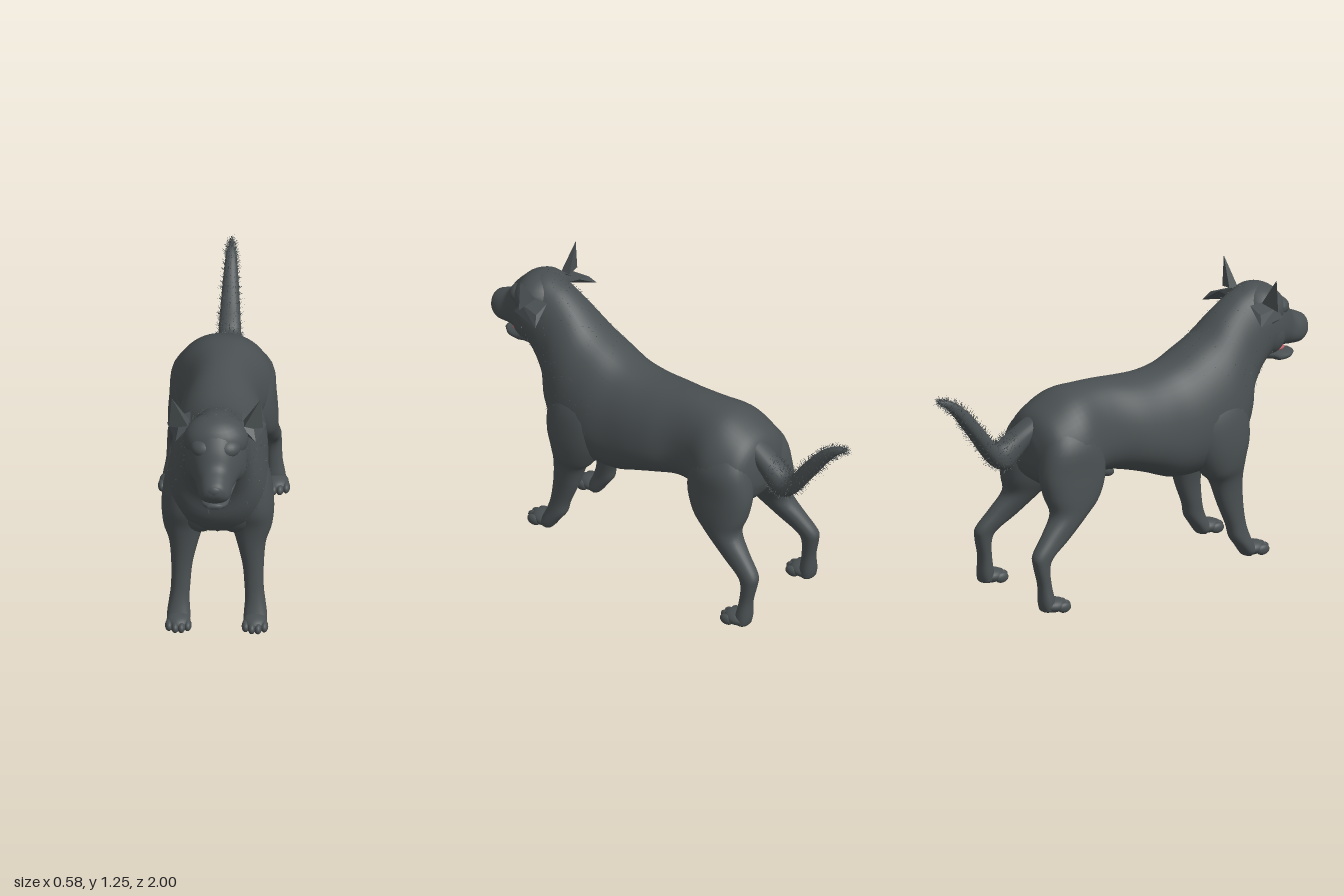
import * as THREE from 'three';

const fur = new THREE.MeshStandardMaterial({ color: 0x4a5052, side: THREE.DoubleSide });
fur.name = 'charcoal fur';
const pink = new THREE.MeshStandardMaterial({ color: 0xbf646c });
pink.name = 'tongue pink';

// Small repeatable random source for the loose hairs
let seed = 7;
const rand = () => (seed = (seed * 16807) % 2147483647) / 2147483647;

// Smooth skin through oval sections: [x, zA, yA, zB, yB, halfWidth]; taper narrows the A side
function loft(rows, sides = 32, steps = 4, taper = 0) {
  const curves = [0, 3].map(k => new THREE.CatmullRomCurve3(
    rows.map(r => new THREE.Vector3(r[k], r[k + 1], r[k + 2])), false, 'catmullrom', 0.5));
  const n = (rows.length - 1) * steps, pos = [], idx = [];
  const bend = v => Math.sign(v) * Math.abs(v) ** 0.88;
  for (let i = 0; i <= n; i++) {
    const p = curves[0].getPoint(i / n), q = curves[1].getPoint(i / n);
    const [x, za, ya] = p.toArray(), [zb, yb, w] = q.toArray();
    for (let j = 0; j < sides; j++) {
      const t = j / sides * Math.PI * 2, c = bend(Math.cos(t)) / 2;
      pos.push(x + bend(Math.sin(t)) * Math.max(w, 0.002) * (1 - taper * c),
        (ya + yb) / 2 + (ya - yb) * c, (za + zb) / 2 + (za - zb) * c);
      if (i < n) {
        const a = i * sides + j, b = i * sides + (j + 1) % sides;
        idx.push(a, a + sides, b, b, a + sides, b + sides);
      }
    }
  }
  // End caps
  for (const i of [0, n]) {
    const r = rows[i ? rows.length - 1 : 0], centre = pos.length / 3;
    pos.push(r[0], (r[2] + r[4]) / 2, (r[1] + r[3]) / 2);
    for (let j = 0; j < sides; j++) {
      const a = i * sides + j, b = i * sides + (j + 1) % sides;
      i ? idx.push(centre, b, a) : idx.push(centre, a, b);
    }
  }
  const g = new THREE.BufferGeometry();
  g.setAttribute('position', new THREE.Float32BufferAttribute(pos, 3));
  g.setIndex(idx);
  g.computeVertexNormals();
  return g;
}

// Thin hairs standing on a skin, where the filter allows
function hairs(skin, count, length, lean, accept) {
  const P = skin.attributes.position, N = skin.attributes.normal, out = [];
  const p = new THREE.Vector3(), d = new THREE.Vector3(), s = new THREE.Vector3();
  for (let k = 0; k < count; k++) {
    const i = Math.floor(rand() * P.count);
    p.fromBufferAttribute(P, i);
    if (!accept(p)) continue;
    d.fromBufferAttribute(N, i).add(lean);
    d.x += rand() - 0.5; d.y += rand() - 0.5; d.z += rand() - 0.5;
    d.normalize();
    s.set(rand() - 0.5, rand() - 0.5, rand() - 0.5).cross(d).normalize().multiplyScalar(0.0012);
    d.multiplyScalar(length * (0.5 + rand() * 0.5));
    const b = p.clone().add(new THREE.Vector3(0, 0, (rand() - 0.5) * 0.02));
    out.push(...b.clone().add(s).toArray(), ...b.clone().sub(s).toArray(), ...b.add(d).toArray());
  }
  const g = new THREE.BufferGeometry();
  g.setAttribute('position', new THREE.Float32BufferAttribute(out, 3));
  g.computeVertexNormals();
  return g;
}

// Flat-faced piece from a few corners
function facets(points, faces) {
  const g = new THREE.BufferGeometry();
  g.setAttribute('position', new THREE.Float32BufferAttribute(faces.flat().flatMap(i => points[i]), 3));
  g.computeVertexNormals();
  return g;
}

export function createModel() {
  const dog = new THREE.Group();
  dog.name = 'dog';
  const add = (name, geometry, material = fur) => {
    const m = new THREE.Mesh(geometry, material);
    m.name = name;
    dog.add(m);
    return m;
  };
  const ball = (name, x, y, z, rx, ry, rz, material = fur) => {
    const m = add(name, new THREE.SphereGeometry(1, 24, 16), material);
    m.position.set(x, y, z);
    m.scale.set(rx, ry, rz);
    return m;
  };

  // Rump, back, chest, neck and muzzle in one skin
  const body = loft([
    [0, -0.515, 0.74, -0.515, 0.62, 0.07], [0, -0.48, 0.82, -0.48, 0.54, 0.175],
    [0, -0.42, 0.87, -0.40, 0.49, 0.215], [0, -0.32, 0.915, -0.30, 0.49, 0.22],
    [0, -0.20, 0.922, -0.20, 0.515, 0.18], [0, -0.10, 0.918, -0.10, 0.51, 0.172],
    [0, 0.02, 0.905, 0.00, 0.485, 0.195], [0, 0.14, 0.90, 0.10, 0.45, 0.206],
    [0, 0.25, 0.92, 0.22, 0.405, 0.21], [0, 0.35, 0.965, 0.37, 0.405, 0.22],
    [0, 0.44, 1.015, 0.52, 0.45, 0.213], [0, 0.52, 1.085, 0.61, 0.56, 0.18],
    [0, 0.59, 1.135, 0.635, 0.68, 0.153], [0, 0.64, 1.16, 0.69, 0.785, 0.14],
    [0, 0.70, 1.18, 0.74, 0.84, 0.134], [0, 0.76, 1.175, 0.775, 0.86, 0.13],
    [0, 0.82, 1.14, 0.81, 0.872, 0.115], [0, 0.87, 1.085, 0.85, 0.872, 0.092],
    [0, 0.905, 1.025, 0.89, 0.867, 0.075], [0, 0.95, 1.0, 0.94, 0.866, 0.068],
    [0, 0.985, 0.98, 0.975, 0.89, 0.052], [0, 0.998, 0.95, 0.995, 0.925, 0.02],
  ], 44, 4, 0.35);
  add('body', body);
  add('neckHair', hairs(body, 1500, 0.014, new THREE.Vector3(0, -0.4, -0.8), p => p.z > 0.3 && p.z < 0.76));
  ball('skull', 0, 1.07, 0.735, 0.142, 0.11, 0.115);

  // Lower jaw and tongue
  add('lowerJaw', loft([
    [0, 0.72, 0.92, 0.73, 0.835, 0.10], [0, 0.775, 0.885, 0.785, 0.825, 0.085],
    [0, 0.82, 0.855, 0.83, 0.805, 0.068], [0, 0.88, 0.842, 0.885, 0.805, 0.056],
    [0, 0.915, 0.84, 0.92, 0.818, 0.03],
  ], 24));
  ball('tongue', 0.008, 0.854, 0.845, 0.04, 0.015, 0.042, pink);
  ball('nose', 0, 0.952, 0.978, 0.034, 0.026, 0.021);
  ball('sheath', 0, 0.495, -0.1, 0.03, 0.028, 0.07).rotation.x = 0.4;

  // Tail hangs from the rump, then sweeps up
  const tail = loft([
    [0.01, -0.44, 0.74, -0.46, 0.83, 0.055], [0.015, -0.50, 0.70, -0.54, 0.785, 0.055],
    [0.02, -0.56, 0.64, -0.60, 0.75, 0.055], [0.02, -0.61, 0.605, -0.645, 0.73, 0.053],
    [0.02, -0.685, 0.64, -0.68, 0.75, 0.05], [0.02, -0.785, 0.775, -0.735, 0.825, 0.042],
    [0.02, -0.865, 0.885, -0.82, 0.925, 0.032], [0.02, -0.92, 0.95, -0.90, 0.985, 0.022],
    [0.02, -0.968, 0.99, -0.965, 1.0, 0.006],
  ], 24, 6);
  add('tail', tail);
  add('tailHair', hairs(tail, 1600, 0.028, new THREE.Vector3(0, 0.5, -0.5), p => p.z < -0.56));

  for (const s of [1, -1]) {
    const side = s > 0 ? 'left' : 'right';
    const flip = rows => rows.map(([x, ...r]) => [s * x, ...r]);

    // Front leg with shoulder
    add(side + 'FrontLeg', loft(flip([
      [0.10, 0.50, 0.88, 0.36, 0.83, 0.04], [0.13, 0.56, 0.73, 0.28, 0.69, 0.09],
      [0.143, 0.575, 0.58, 0.28, 0.55, 0.102], [0.148, 0.55, 0.48, 0.34, 0.42, 0.09],
      [0.147, 0.54, 0.38, 0.385, 0.37, 0.065], [0.155, 0.54, 0.27, 0.42, 0.26, 0.047],
      [0.16, 0.55, 0.17, 0.46, 0.16, 0.042], [0.165, 0.565, 0.11, 0.475, 0.10, 0.044],
      [0.167, 0.585, 0.06, 0.51, 0.05, 0.05], [0.167, 0.60, 0.03, 0.53, 0.02, 0.05],
      [0.167, 0.58, 0.006, 0.54, 0.006, 0.035],
    ]), 28));

    // Hind leg with thigh and hock
    add(side + 'HindLeg', loft(flip([
      [0.09, -0.27, 0.86, -0.44, 0.82, 0.05], [0.125, -0.22, 0.72, -0.495, 0.72, 0.095],
      [0.14, -0.20, 0.58, -0.525, 0.60, 0.094], [0.156, -0.24, 0.47, -0.515, 0.50, 0.085],
      [0.175, -0.32, 0.40, -0.495, 0.42, 0.066], [0.195, -0.43, 0.31, -0.555, 0.345, 0.047],
      [0.21, -0.52, 0.25, -0.62, 0.27, 0.038], [0.215, -0.545, 0.20, -0.62, 0.22, 0.035],
      [0.22, -0.54, 0.12, -0.60, 0.13, 0.034], [0.225, -0.53, 0.06, -0.598, 0.05, 0.042],
      [0.227, -0.53, 0.02, -0.59, 0.012, 0.042],
    ]), 28));

    // Paws with four toes each
    for (const [leg, x, z] of [['Front', 0.167, 0.57], ['Hind', 0.23, -0.55]]) {
      ball(side + leg + 'Paw', s * x, 0.032, z + 0.02, 0.052, 0.032, 0.062);
      for (let t = 0; t < 4; t++) {
        const o = t - 1.5, inner = Math.abs(o) < 1;
        ball(side + leg + 'Toe', s * x + o * 0.027, 0.024, z + (inner ? 0.066 : 0.05), 0.0175, 0.024, 0.034);
      }
    }

    // Upright ear spike and folded flap beneath
    const ear = pts => pts.map(([x, y, z]) => [s * x, y, z]);
    add(side + 'EarTip', facets(ear([[0.115, 1.11, 0.73], [0.205, 1.107, 0.705], [0.12, 1.13, 0.68], [0.194, 1.253, 0.705]]),
      [[0, 1, 3], [1, 2, 3], [2, 0, 3], [0, 2, 1]]));
    add(side + 'EarFlap', facets(ear([[0.11, 1.13, 0.73], [0.115, 1.13, 0.62], [0.185, 1.105, 0.625], [0.165, 1.11, 0.72],
      [0.217, 1.062, 0.605], [0.175, 1.064, 0.755], [0.12, 1.075, 0.70]]),
      [[0, 3, 2], [0, 2, 1], [3, 5, 4], [3, 4, 2], [0, 6, 5], [0, 5, 3], [1, 2, 4], [1, 4, 6], [6, 4, 5]]));

    // Face and chest muscles
    ball(side + 'Brow', s * 0.05, 1.07, 0.805, 0.06, 0.045, 0.06);
    ball(side + 'Cheek', s * 0.08, 0.96, 0.755, 0.055, 0.09, 0.075);
    ball(side + 'ChestMuscle', s * 0.08, 0.59, 0.48, 0.12, 0.16, 0.1);
  }
  return dog;
}
